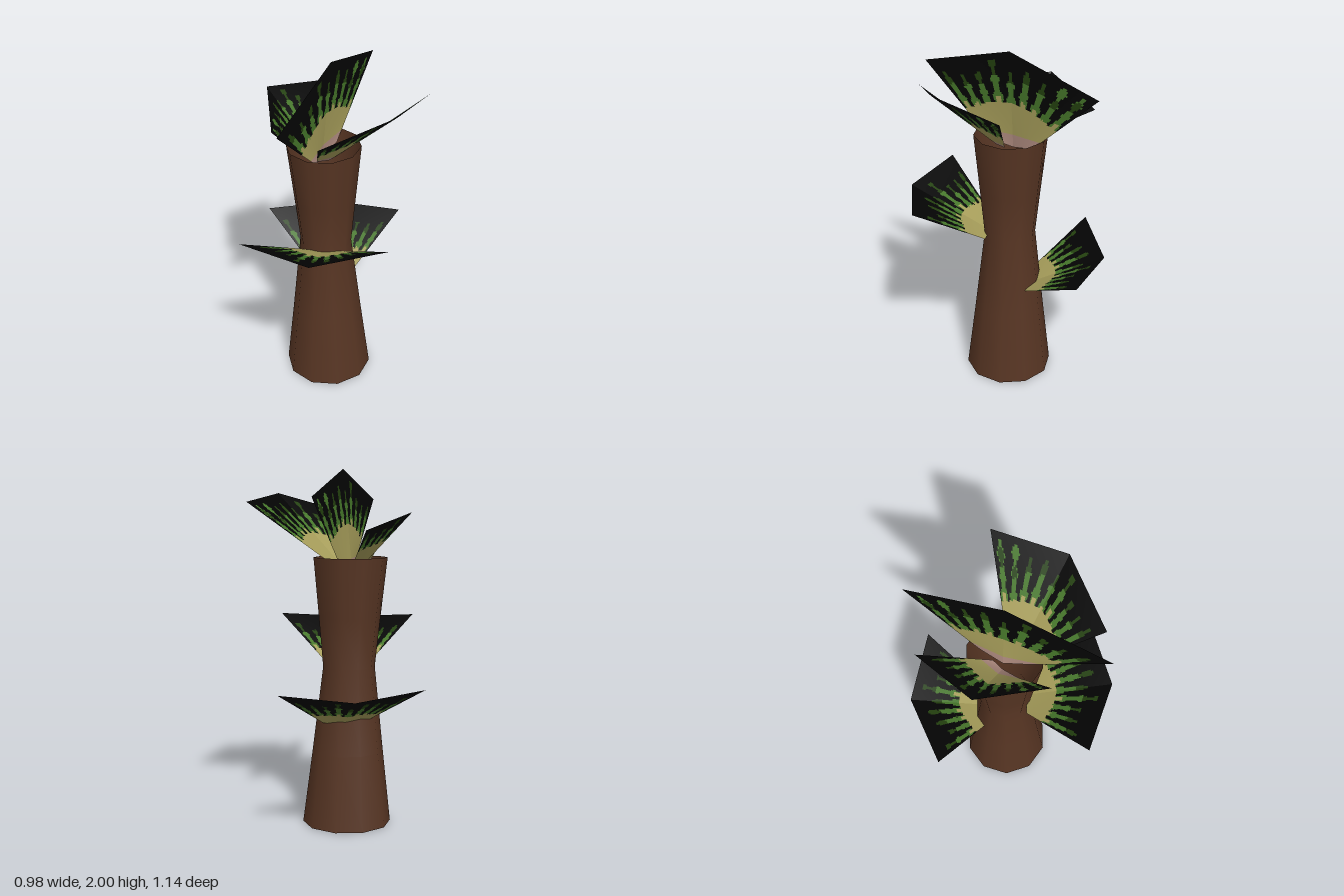
import * as THREE from 'three';

const paint = (name, color) => {
  const m = new THREE.MeshStandardMaterial({ color, side: THREE.DoubleSide });
  m.name = name;
  return m;
};

// Ten-sided hollow hourglass trunk, open at both ends and leaning slightly
function makeTrunk(bark) {
  const profile = [[0.25, 0], [0.2, 0.42], [0.146, 0.9], [0.173, 1.18], [0.207, 1.515]];
  const geo = new THREE.LatheGeometry(
    profile.map(p => new THREE.Vector2(...p)), 10, Math.PI / 10);
  const pos = geo.attributes.position;
  for (let i = 0; i < pos.count; i++) {
    const y = pos.getY(i);
    pos.setX(i, pos.getX(i) - 0.0675 - 0.013 * y);
    pos.setZ(i, pos.getZ(i) - 0.016 - 0.003 * y);
  }
  const trunk = new THREE.Mesh(geo, bark);
  trunk.name = 'trunk';
  return trunk;
}

// Leaf colour zones: 0 black, 1 green, 2 dark green, 3 cream, 4 pink
// u runs across the leaf, t from the base (0) to the rim (1); the root is below 0
const STRIPES = 9, COLS = STRIPES * 10, ROWS = 44;
function leafZone(u, t, isCrown) {
  const s = u * STRIPES, k = Math.floor(s), off = Math.abs(s - k - 0.5);
  const edge = Math.abs(2 * u - 1);
  const vary = Math.sin(k * 2.4 + 1) * 0.5 + 0.5;
  const wobble = 0.04 * Math.sin(t * 30 + k * 2);
  const cream = (isCrown ? 0.42 : 0.37) - 0.12 * edge * edge;
  if (t < 0.03 && isCrown) return 4;
  if (t < cream + 0.09 * vary * (off < 0.22)) return 3;
  if (t < cream + 0.08 + 0.05 * vary && off < 0.34 + wobble) return 1;
  if (t < cream + 0.22 + 0.12 * vary && off < 0.22 + wobble) return 1;
  if (t < cream + 0.34 + 0.18 * vary && off < 0.15 + wobble) return 2;
  // long streaks on one side of the crown leaves
  if (isCrown && u > 0.8 && t < 0.93 && off < 0.18 + 2 * wobble) return 1;
  return 0;
}

// Fan leaf between three base points and three rim points,
// with a root continuing below the base
function makeLeaf(name, base, rim, root, materials) {
  const along = (pts, u) => {
    const i = u < 0.5 ? 0 : 1;
    return new THREE.Vector3(...pts[i]).lerp(new THREE.Vector3(...pts[i + 1]), u * 2 - i);
  };
  const rowT = r => -root + (1 + root) * r / ROWS;
  const point = (c, r) => along(base, c / COLS).lerp(along(rim, c / COLS), rowT(r)).toArray();
  const zones = materials.map(() => []);
  for (let c = 0; c < COLS; c++) {
    for (let r = 0; r < ROWS; r++) {
      const a = point(c, r), b = point(c + 1, r), d = point(c, r + 1), e = point(c + 1, r + 1);
      const zone = leafZone((c + 0.5) / COLS, rowT(r + 0.5), root > 0);
      zones[zone].push(...a, ...b, ...e, ...a, ...e, ...d);
    }
  }
  const geo = new THREE.BufferGeometry();
  geo.setAttribute('position', new THREE.Float32BufferAttribute(zones.flat(), 3));
  let start = 0;
  zones.forEach((z, i) => {
    geo.addGroup(start, z.length / 3, i);
    start += z.length / 3;
  });
  geo.computeVertexNormals();
  const leaf = new THREE.Mesh(geo, materials);
  leaf.name = name;
  return leaf;
}

export function createModel() {
  const model = new THREE.Group();
  model.name = 'palmTrunk';
  const leafPaints = [
    paint('leafBlack', 0x040404),
    paint('leafGreen', 0x46772a),
    paint('leafDarkGreen', 0x24420f),
    paint('leafCream', 0xa69d5a),
    paint('leafPink', 0xb08c80),
  ];
  model.add(makeTrunk(paint('barkBrown', 0x573523)));

  // name, base points, rim points (corner, tip, corner), root length
  const leaves = [
    ['frontLeaf',
      [[-0.2, 0.9, 0.1], [-0.085, 0.89, 0.1], [0.04, 0.9, 0.1]],
      [[-0.49, 1.145, 0.43], [-0.105, 1.12, 0.57], [0.3, 1.155, 0.44]], 0],
    ['backLeaf',
      [[0.07, 0.6, -0.14], [-0.045, 0.59, -0.14], [-0.16, 0.6, -0.12]],
      [[0.32, 0.82, -0.475], [-0.08, 0.795, -0.57], [-0.465, 0.83, -0.4]], 0],
    ['crownCentreLeaf',
      [[-0.13, 1.5, 0.15], [-0.09, 1.49, -0.03], [-0.01, 1.5, -0.19]],
      [[-0.255, 1.835, 0.505], [-0.045, 2, -0.02], [0.14, 1.845, -0.525]], 0.12],
    ['crownLeftLeaf',
      [[-0.105, 1.5, 0.135], [-0.02, 1.49, 0.07], [0.05, 1.5, -0.015]],
      [[-0.06, 1.765, 0.485], [0.315, 1.87, 0.305], [0.485, 1.82, -0.09]], 0.08],
    ['crownRightLeaf',
      [[-0.1, 1.5, -0.13], [-0.17, 1.49, -0.05], [-0.21, 1.5, 0.07]],
      [[-0.14, 1.675, -0.47], [-0.41, 1.765, -0.18], [-0.33, 1.7, 0.21]], 0.14],
  ];
  leaves.forEach(([name, base, rim, root]) =>
    model.add(makeLeaf(name, base, rim, root, leafPaints)));
  return model;
}
